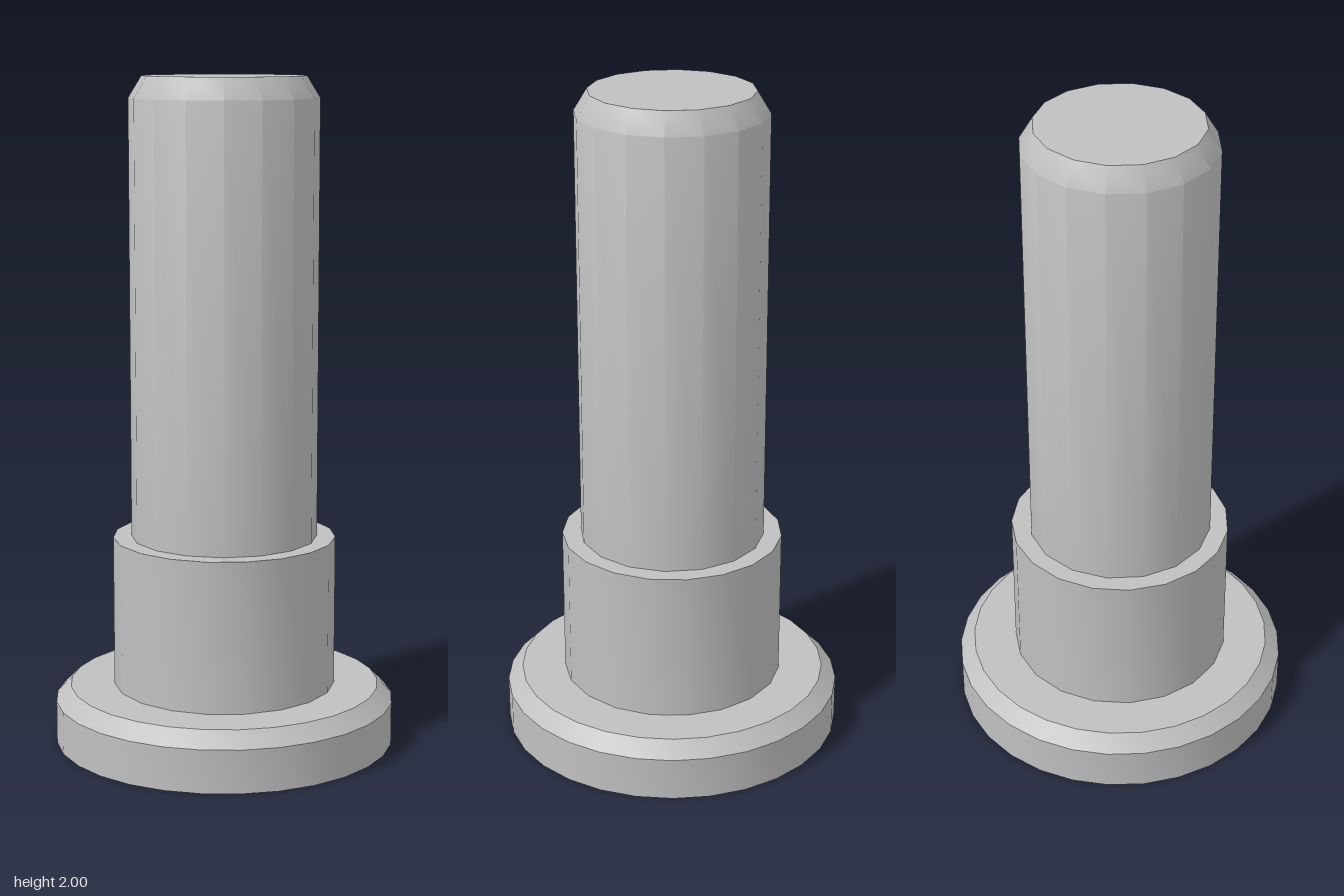
import * as THREE from 'three';
import { toCreasedNormals } from 'three/addons/utils/BufferGeometryUtils.js';

const steel = new THREE.MeshStandardMaterial({ color: 0xc0c0c0 });
steel.name = 'grey steel';

// Turned part from [radius, height] pairs, bottom to top, first corner on +x
function turned(name, profile, sides) {
  const points = profile.map(([r, y]) => new THREE.Vector2(r, y));
  const lathe = new THREE.LatheGeometry(points, sides, Math.PI / 2);
  const mesh = new THREE.Mesh(toCreasedNormals(lathe, THREE.MathUtils.degToRad(35)), steel);
  mesh.name = name;
  return mesh;
}

export function createModel() {
  const group = new THREE.Group();
  group.name = 'shoulderPin';
  group.add(
    // Wide head with a chamfered upper rim
    turned('head', [[0, 0], [0.513, 0], [0.513, 0.13], [0.468, 0.175], [0, 0.175]], 29),
    // Shoulder between head and shaft
    turned('shoulder', [[0.335, 0.175], [0.335, 0.63], [0, 0.63]], 19),
    // Long shaft with a chamfered tip
    turned('shaft', [[0.28, 0.63], [0.28, 1.936], [0.241, 2], [0, 2]], 16),
  );
  return group;
}
